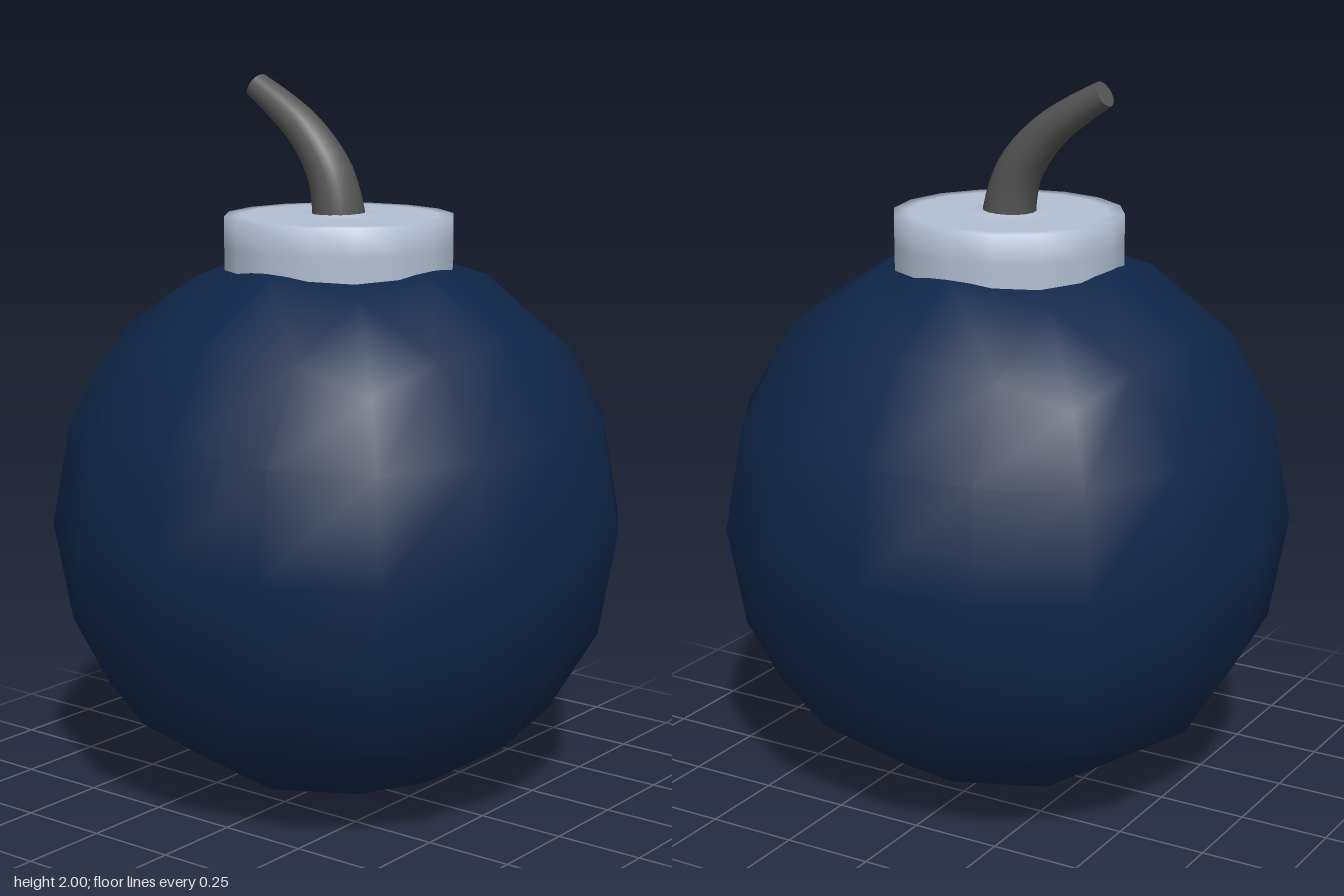
import * as THREE from 'three';
import { mergeVertices } from 'three/addons/utils/BufferGeometryUtils.js';

const navy = new THREE.MeshStandardMaterial({ name: 'navy', color: 0x0f2648 });
const steel = new THREE.MeshStandardMaterial({ name: 'paleSteel', color: 0xb2bed2 });
const grey = new THREE.MeshStandardMaterial({ name: 'darkGrey', color: 0x555555 });

// Rounded cube: each grid point of a 4 x 4 x 4 box moves to its smoothed place.
// Keys are the sorted grid steps from the centre, values the matching distances.
const ROUNDED = {
  '002': [0, 0, 0.779],
  '012': [0, 0.309, 0.726],
  '112': [0.293, 0.293, 0.677],
  '022': [0, 0.566, 0.566],
  '122': [0.275, 0.532, 0.532],
  '222': [0.464, 0.464, 0.464],
};

function roundedBall() {
  const box = new THREE.BoxGeometry(4, 4, 4, 4, 4, 4);
  box.deleteAttribute('normal');
  box.deleteAttribute('uv');
  const geo = mergeVertices(box);
  const pos = geo.attributes.position;
  for (let i = 0; i < pos.count; i++) {
    const p = [pos.getX(i), pos.getY(i), pos.getZ(i)].map(Math.round);
    const steps = p.map(Math.abs).sort();
    const target = ROUNDED[steps.join('')];
    pos.setXYZ(i, ...p.map((c) => Math.sign(c) * target[steps.indexOf(Math.abs(c))]));
  }
  geo.computeVertexNormals();
  return geo;
}

// Tube that narrows evenly from r0 to r1
function taperedTube(curve, rings, sides, r0, r1) {
  const geo = new THREE.TubeGeometry(curve, rings, 1, sides);
  const pos = geo.attributes.position;
  const v = new THREE.Vector3();
  for (let i = 0; i < pos.count; i++) {
    const t = Math.floor(i / (sides + 1)) / rings;
    const centre = curve.getPointAt(t);
    v.fromBufferAttribute(pos, i).sub(centre);
    v.multiplyScalar(THREE.MathUtils.lerp(r0, r1, t)).add(centre);
    pos.setXYZ(i, v.x, v.y, v.z);
  }
  return geo;
}

export function createModel() {
  const model = new THREE.Group();
  const add = (name, geo, mat) => {
    const mesh = new THREE.Mesh(geo, mat);
    mesh.name = name;
    model.add(mesh);
    return mesh;
  };

  // Round body
  add('body', roundedBall(), navy).position.y = 0.781;

  // Collar with softly shaded rim and a small fillet at the fuse
  const profile = [
    [0.318, 1.35], [0.318, 1.55], [0.318, 1.63], [0.275, 1.63],
    [0.13, 1.63], [0.078, 1.632], [0.06, 1.645],
  ].map(([r, y]) => new THREE.Vector2(r, y));
  add('collar', new THREE.LatheGeometry(profile, 16), steel);

  // Fuse bending towards the back
  const path = new THREE.CatmullRomCurve3([
    [1.6, 0], [1.66, -0.007], [1.75, -0.036], [1.85, -0.115], [1.915, -0.2], [1.972, -0.292],
  ].map(([y, z]) => new THREE.Vector3(0, y, z)));
  add('fuse', taperedTube(path, 14, 16, 0.076, 0.037), grey);

  // Flat end of the fuse
  const tip = add('fuseTip', new THREE.CircleGeometry(0.037, 16), grey);
  const end = path.getPointAt(1);
  tip.position.copy(end);
  tip.lookAt(end.clone().add(path.getTangentAt(1)));

  return model;
}
